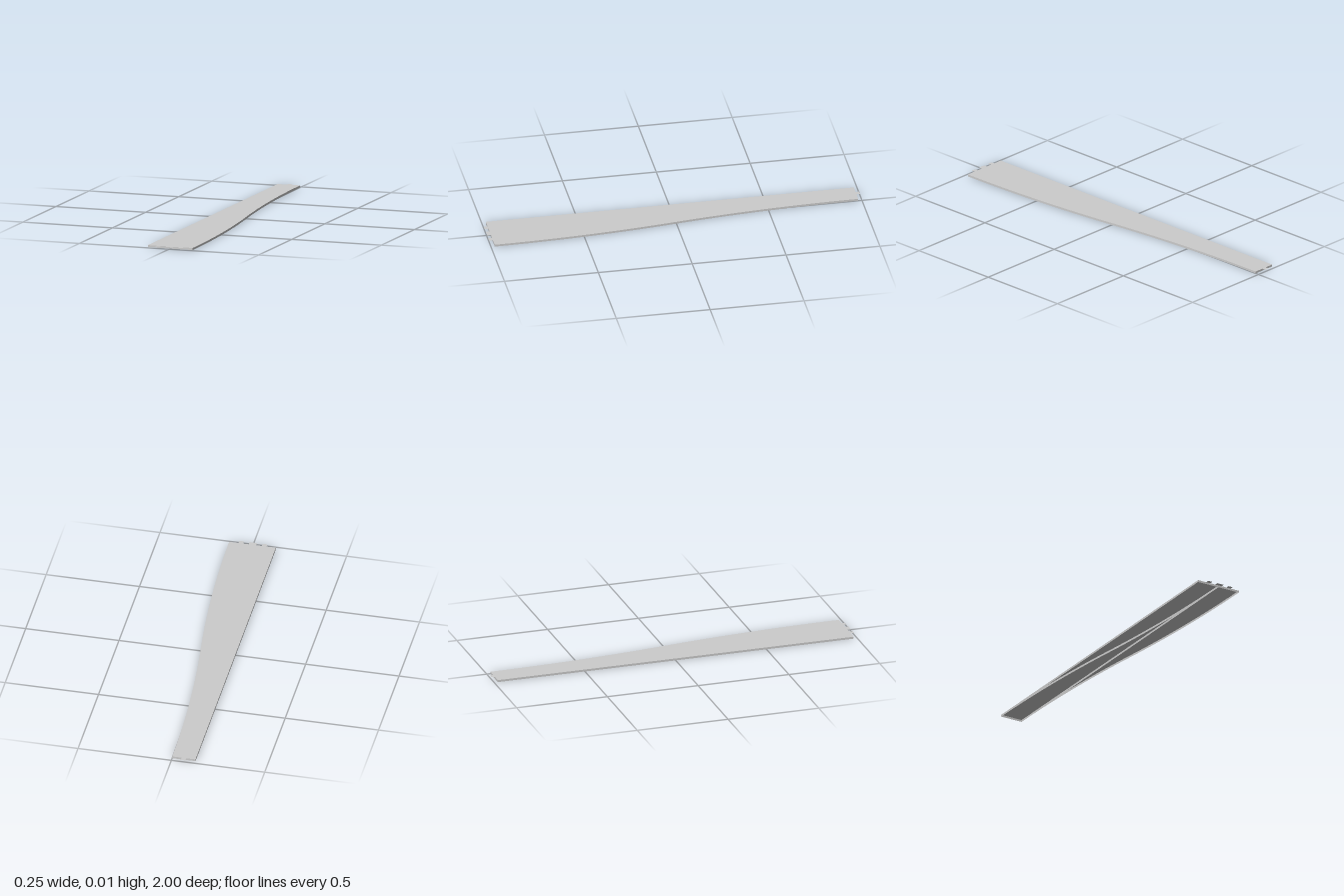
import * as THREE from 'three';

const HALF = 0.98;     // half length of the deck
const WIDTH = 0.125;   // width of one lane
const TOP = 0.011;     // deck height
const STEPS = 48;

const material = new THREE.MeshStandardMaterial({ color: 0xcccccc, side: THREE.DoubleSide });

// Sideways shift of the diverging lane: two matching arcs forming an S
function shift(z) {
  const u = z / HALF;
  return u < 0 ? (WIDTH / 2) * (u + 1) ** 2 : WIDTH - (WIDTH / 2) * (1 - u) ** 2;
}

const straightEdge = x => z => [x, z];
const curvedEdge = x => z => [x + shift(z), z];

// Sheet spanning two edge curves, each at its own height
function ribbon(name, edgeA, yA, edgeB, yB) {
  const pos = [], index = [];
  for (let i = 0; i <= STEPS; i++) {
    const z = -HALF + (2 * HALF * i) / STEPS;
    const [ax, az] = edgeA(z), [bx, bz] = edgeB(z);
    pos.push(ax, yA, az, bx, yB, bz);
    if (i < STEPS) {
      const k = i * 2;
      index.push(k, k + 2, k + 1, k + 1, k + 2, k + 3);
    }
  }
  const g = new THREE.BufferGeometry();
  g.setAttribute('position', new THREE.Float32BufferAttribute(pos, 3));
  g.setIndex(index);
  g.computeVertexNormals();
  const mesh = new THREE.Mesh(g, material);
  mesh.name = name;
  return mesh;
}

function plate(name, w, h, x, y, z, flat) {
  const g = new THREE.PlaneGeometry(w, h);
  if (flat) g.rotateX(-Math.PI / 2);
  else if (z < 0) g.rotateY(Math.PI);
  const mesh = new THREE.Mesh(g, material);
  mesh.position.set(x, y, z);
  mesh.name = name;
  return mesh;
}

export function createModel() {
  const group = new THREE.Group();
  group.name = 'trackTurnoutBase';

  // Deck covering both lanes
  group.add(ribbon('deck', straightEdge(-WIDTH), TOP, curvedEdge(0), TOP));

  // Long side walls of both lanes; the inner two show as ribs underneath
  const walls = [
    ['straightOuterWall', straightEdge(-WIDTH), false],
    ['straightInnerRib', straightEdge(0), true],
    ['curvedInnerRib', curvedEdge(-WIDTH), false],
    ['curvedOuterWall', curvedEdge(0), true],
  ];
  for (const [name, edge, facesLeft] of walls)
    group.add(facesLeft ? ribbon(name, edge, TOP, edge, 0) : ribbon(name, edge, 0, edge, TOP));

  // End walls
  group.add(plate('narrowEndWall', WIDTH, TOP, -WIDTH / 2, TOP / 2, -HALF));
  group.add(plate('wideEndWall', WIDTH * 2, TOP, 0, TOP / 2, HALF));

  // Thin connecting tabs, level with the deck
  const tabLength = 1 - HALF;
  const tabs = [[-0.0625, 0.025, -1], [-0.0625, 0.025, 1], [0, 0.04, 1], [0.0625, 0.025, 1]];
  for (const [x, w, end] of tabs)
    group.add(plate('tab', w, tabLength, x, TOP, end * (HALF + tabLength / 2), true));

  return group;
}
